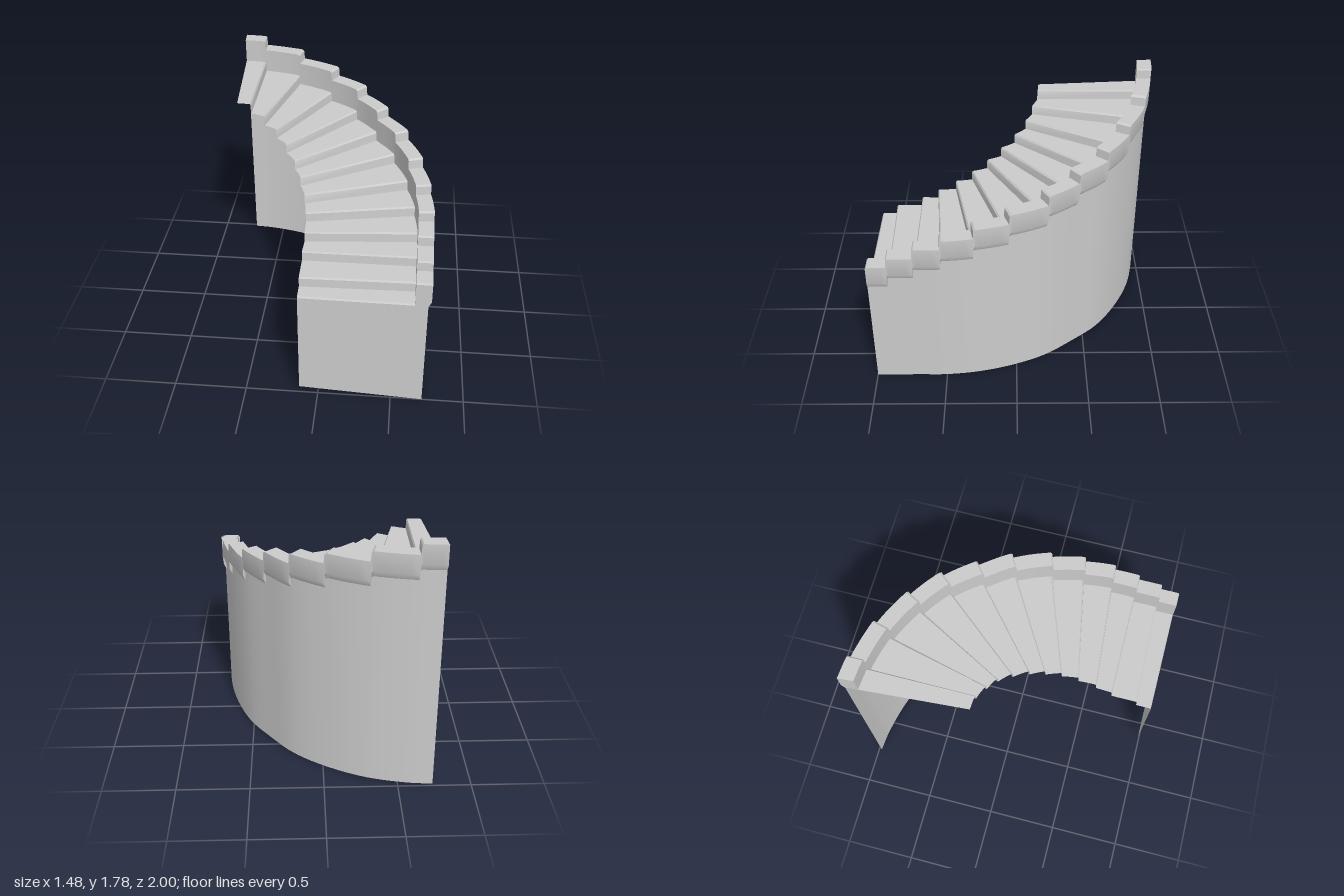
import * as THREE from 'three';
import { toCreasedNormals } from 'three/addons/utils/BufferGeometryUtils.js';

const STEPS = 12, RISE = 0.0709, FIRST_TOP = 1.0;

// Plan lines of the step edges: inner end and outer end as [x, z]
const INNER = [[-0.13, 0.99], [-0.13, 0.88], [-0.13, 0.69], [-0.125, 0.57], [-0.13, 0.44], [-0.15, 0.32], [-0.19, 0.21],
  [-0.24, 0.11], [-0.31, 0.01], [-0.39, -0.07], [-0.48, -0.12], [-0.58, -0.16], [-0.68, -0.17]];
const OUTER = [[0.735, 1], [0.735, 0.865], [0.735, 0.69], [0.735, 0.505], [0.71, 0.285], [0.65, 0.05], [0.54, -0.21],
  [0.39, -0.42], [0.22, -0.62], [0, -0.78], [-0.28, -0.915], [-0.575, -0.985], [-0.74, -1]];
const curve = (pts) => new THREE.CatmullRomCurve3(pts.map(([x, z]) => new THREE.Vector3(x, 0, z)));
const innerCurve = curve(INNER), outerCurve = curve(OUTER);

// Cross-section from the tread's inner edge over the parapet and down the wall
function section(u, top) {
  const a = innerCurve.getPoint(u / STEPS), b = outerCurve.getPoint(u / STEPS);
  const inward = a.clone().sub(b).normalize();
  const at = (inset, y) => b.clone().addScaledVector(inward, inset).setY(y);
  return [
    a.setY(top - 0.17), at(0.105, top - 0.17), at(0.105, top), at(0, top),
    at(0, top - 0.135), at(0.02, top - 0.175), at(0.02, 0),
  ];
}

const material = new THREE.MeshStandardMaterial({ color: 0xcccccc, side: THREE.DoubleSide });

function addMesh(group, name, points) {
  const g = new THREE.BufferGeometry().setFromPoints(points);
  g.computeVertexNormals();
  const mesh = new THREE.Mesh(toCreasedNormals(g, 0.5), material);
  mesh.name = name;
  group.add(mesh);
}

// Surface between columns from..to of a row of sections
function loft(rows, from, to) {
  const out = [];
  for (let i = 0; i < rows.length - 1; i++) {
    for (let j = from; j < to; j++) {
      const a = rows[i][j], b = rows[i][j + 1], c = rows[i + 1][j + 1], d = rows[i + 1][j];
      out.push(a, b, c, a, c, d);
    }
  }
  return out;
}

// Fan over a convex outline
function fan(pts) {
  const out = [];
  for (let i = 1; i < pts.length - 1; i++) out.push(pts[0], pts[i], pts[i + 1]);
  return out;
}

export function createModel() {
  const group = new THREE.Group();
  group.name = 'curvedStaircase';

  // Each step begins with a small bevelled nosing and then runs level
  const rows = [];
  for (let k = 0; k < STEPS; k++) {
    const top = FIRST_TOP + RISE * k;
    rows.push(section(k + 0.02, top - 0.01), section(k + 0.07, top));
    for (let s = 1; s <= 5; s++) rows.push(section(k + s / 5, top));
  }
  rows[0] = section(0, FIRST_TOP - 0.01);
  const first = rows[0], last = rows[rows.length - 1];

  addMesh(group, 'treadsAndRisers', loft(rows, 0, 1));
  addMesh(group, 'steppedParapet', loft(rows, 1, 5));
  addMesh(group, 'outerWall', loft(rows, 5, 6));

  // Parapet ends
  addMesh(group, 'parapetFrontEnd', fan(first.slice(1, 6).reverse()));
  addMesh(group, 'parapetBackEnd', fan(last.slice(1, 6)));

  // Panel below the first step
  const foot = first[0].clone().setY(0.04);
  addMesh(group, 'frontPanel', fan([foot, first[6], first[5], first[1], first[0]]));
  return group;
}
